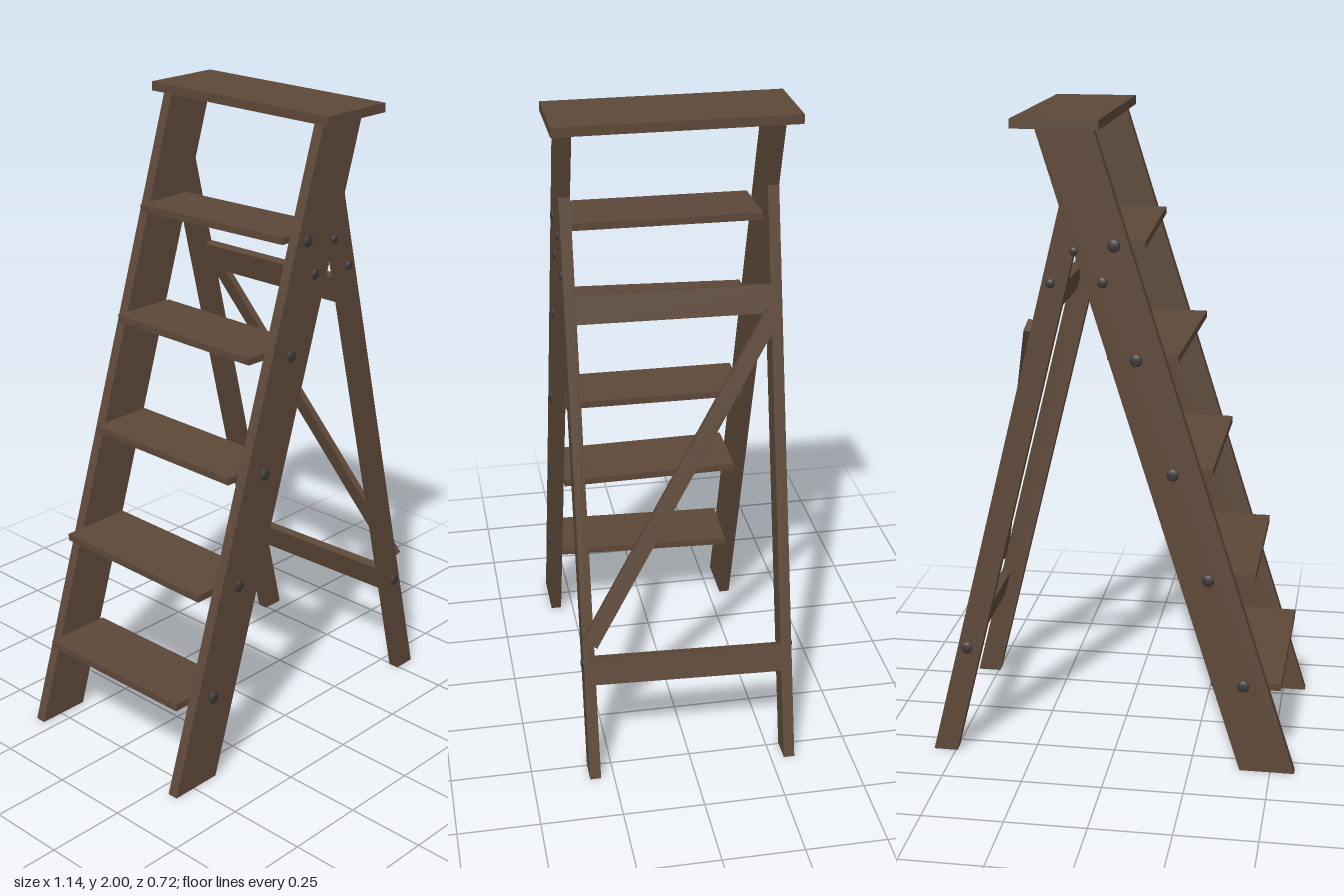
import * as THREE from 'three';

const wood = new THREE.MeshStandardMaterial({ name: 'dark wood', color: 0x5d4838 });
const iron = new THREE.MeshStandardMaterial({ name: 'dark iron', color: 0x3c3a38 });

const STILE_SLOPE = 0.315; // x gained per unit of height along the stiles
const LEG_SLOPE = -0.242;  // same for the rear legs
const RAIL_Z = 0.308, RAIL_T = 0.034;

const stileEdge = (y) => -0.405 + STILE_SLOPE * y;
const legEdge = (y) => 0.57 + LEG_SLOPE * y;

function add(parent, name, geometry, material) {
  const mesh = new THREE.Mesh(geometry, material);
  mesh.name = name;
  parent.add(mesh);
  return mesh;
}

// flat plank with an outline in the xy plane, centred on its thickness
function plank(points) {
  const shape = new THREE.Shape(points.map(([x, y]) => new THREE.Vector2(x, y)));
  return new THREE.ExtrudeGeometry(shape, { depth: RAIL_T, bevelEnabled: false })
    .translate(0, 0, -RAIL_T / 2);
}

export function createModel() {
  const model = new THREE.Group();
  model.name = 'stepladder';

  // Top platform
  add(model, 'topPlatform', new THREE.BoxGeometry(0.257, 0.028, 0.716), wood)
    .position.set(0.153, 1.986, 0);

  // Stiles and rear legs; each leg is cut to butt against its stile
  const stile = plank([[-0.575, 0], [-0.405, 0], [stileEdge(1.973), 1.973], [stileEdge(1.973) - 0.17, 1.973]]);
  const leg = plank([[0.495, 0], [0.57, 0], [stileEdge(1.75), 1.75], [stileEdge(1.616), 1.616]]);
  for (const side of [1, -1]) {
    add(model, 'stile', stile, wood).position.z = side * RAIL_Z;
    add(model, 'rearLeg', leg, wood).position.z = side * RAIL_Z;
  }

  // Treads, each slightly askew: left x, right x, height, roll, yaw
  const treads = [
    [-0.53, -0.313, 0.278, -0.022, -0.016],
    [-0.44, -0.205, 0.622, 0.014, 0],
    [-0.308, -0.1, 0.957, 0, -0.006],
    [-0.21, 0.004, 1.305, -0.015, -0.035],
    [-0.093, 0.108, 1.641, -0.014, 0.026],
  ];
  for (const [x0, x1, y, roll, yaw] of treads) {
    const tread = add(model, 'tread', new THREE.BoxGeometry(x1 - x0, 0.022, 0.578), wood);
    tread.position.set((x0 + x1) / 2, y, 0);
    tread.rotation.set(roll, yaw, 0);
  }

  // Cross bars flush with the outer edge of the rear legs
  const lean = Math.atan(-LEG_SLOPE);
  for (const [y, roll] of [[0.332, -0.03], [1.426, -0.01]]) {
    const holder = new THREE.Group();
    holder.name = 'crossBarHolder';
    holder.position.set(legEdge(y), y, 0);
    holder.rotation.z = lean;
    const bar = add(holder, 'crossBar', new THREE.BoxGeometry(0.028, 0.086, 0.59), wood);
    bar.position.x = -0.014;
    bar.rotation.x = roll;
    model.add(holder);
  }

  // Diagonal brace lying on the outside of the rear legs
  const braceHolder = new THREE.Group();
  braceHolder.name = 'braceHolder';
  braceHolder.position.set(legEdge(0.91), 0.91, 0.005);
  braceHolder.rotation.z = lean;
  const brace = add(braceHolder, 'diagonalBrace', new THREE.BoxGeometry(0.021, 1.15, 0.05), wood);
  brace.position.x = 0.0105;
  brace.rotation.x = -0.55;
  model.add(braceHolder);

  // Domed bolt heads on the outer faces: x, y, radius
  const bolts = [
    [-0.412, 0.283, 0.019], [-0.299, 0.623, 0.019], [-0.189, 0.953, 0.019],
    [-0.078, 1.3, 0.019], [-0.013, 1.638, 0.019], [0.021, 1.53, 0.016],
    [0.105, 1.62, 0.013], [0.175, 1.523, 0.014], [0.456, 0.355, 0.019],
  ];
  const dome = new THREE.SphereGeometry(1, 12, 8);
  for (const [x, y, r] of bolts) {
    for (const side of [1, -1]) {
      const bolt = add(model, 'bolt', dome, iron);
      bolt.position.set(x, y, side * (RAIL_Z + RAIL_T / 2));
      bolt.scale.set(r, r, 0.007);
    }
  }
  return model;
}
